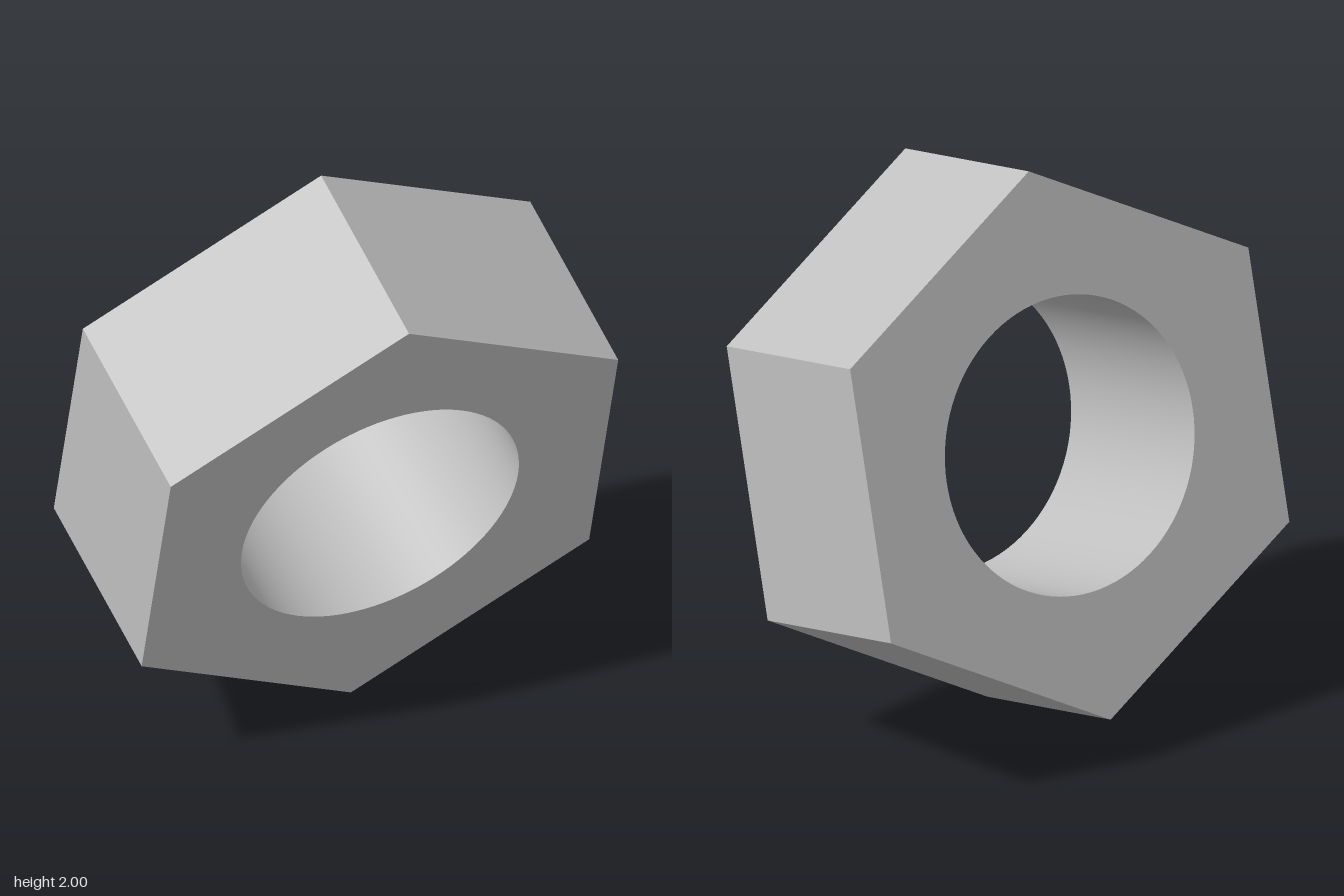
import * as THREE from 'three';
import { toCreasedNormals } from 'three/addons/utils/BufferGeometryUtils.js';

const RADIUS = 0.941, HOLE = 0.503, DEPTH = 0.714;

export function createModel() {
  const group = new THREE.Group();
  group.name = 'hexNut';
  const steel = new THREE.MeshStandardMaterial({ color: 0xbfbfbf });
  steel.name = 'plain grey';

  // Hexagonal outline with a corner on the local y axis
  const outline = new THREE.Shape();
  for (let i = 0; i < 6; i++) {
    const a = Math.PI / 2 + i * Math.PI / 3;
    const x = RADIUS * Math.cos(a), y = RADIUS * Math.sin(a);
    if (i === 0) outline.moveTo(x, y); else outline.lineTo(x, y);
  }
  outline.closePath();

  // Round bore
  const bore = new THREE.Path();
  bore.absarc(0, 0, HOLE, 0, Math.PI * 2, true);
  outline.holes.push(bore);

  const solid = new THREE.ExtrudeGeometry(outline, { depth: DEPTH, bevelEnabled: false, curveSegments: 48 });
  solid.translate(0, 0, -DEPTH / 2);
  const nut = new THREE.Mesh(toCreasedNormals(solid, 0.5), steel);
  nut.name = 'nutBody';

  // Tilt: bore axis along z, one corner direction along y
  const axis = new THREE.Vector3(-0.483, -0.245, 0.84).normalize();
  const corner = new THREE.Vector3(-0.12, 0.971, 0.207);
  const side = new THREE.Vector3().crossVectors(corner, axis).normalize();
  corner.crossVectors(axis, side);
  nut.quaternion.setFromRotationMatrix(new THREE.Matrix4().makeBasis(side, corner, axis));
  nut.position.y = 1;
  group.add(nut);
  return group;
}
